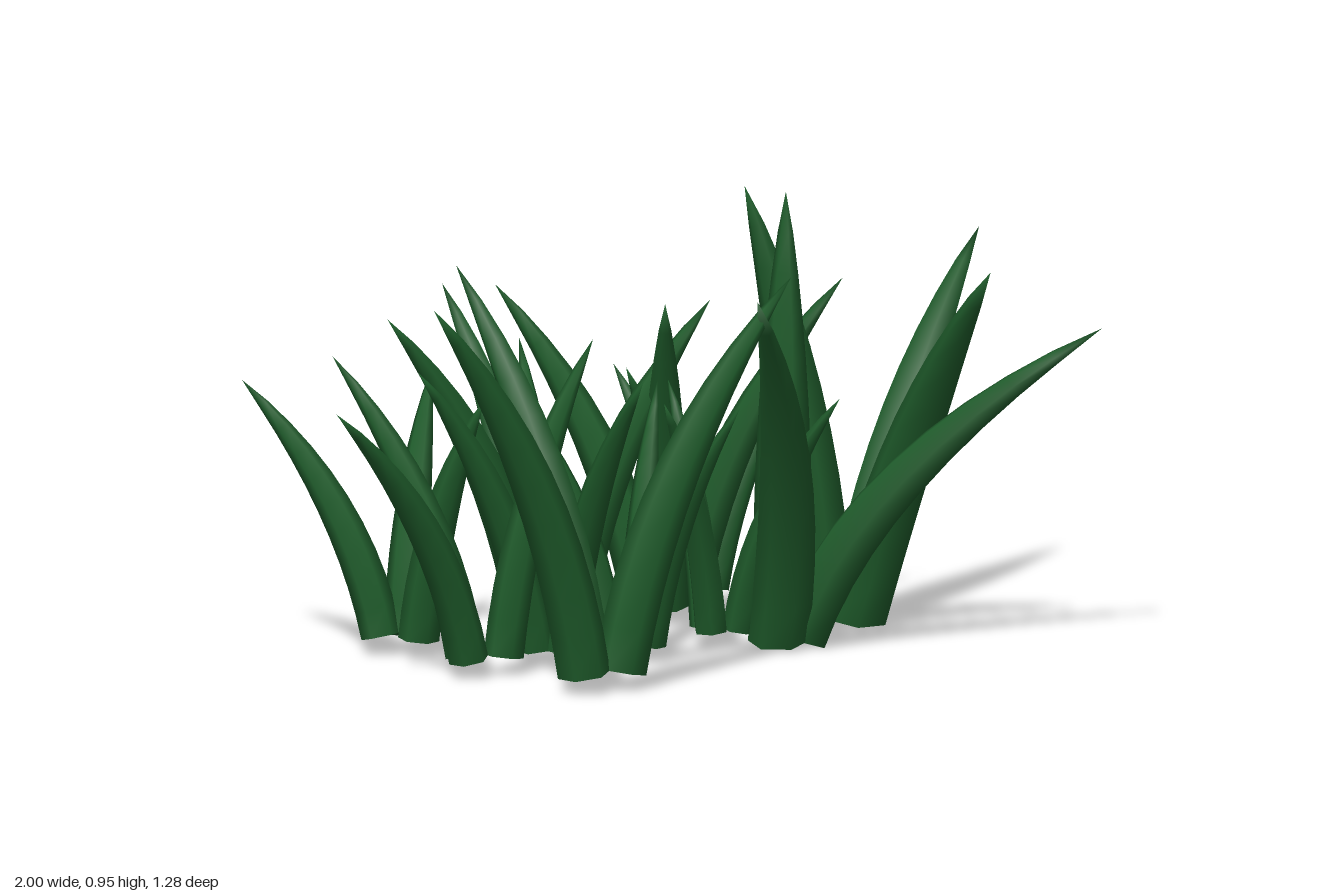
import * as THREE from 'three';

const SIDES = 6, RINGS = 10;

// Half-width factor along a blade, from its cut base to its tip
const taper = t => 1 - 0.96 * Math.pow(t, 2.4);

// Tufts: root x and z, half width w, height h, blade tips as [x, z, own height, sideways bow]
const tufts = [
  { x: -0.52, z: -0.23, w: 0.045, h: 0.57, tips: [[-0.66, -0.58], [-0.24, -0.46], [-0.46, -0.03]] },
  { x: -0.11, z: -0.23, w: 0.052, h: 0.71, tips: [[-0.06, -0.64], [-0.48, -0.32], [0.22, -0.1]] },
  { x: 0.22, z: -0.25, w: 0.052, h: 0.73, tips: [[0.06, -0.61, 0.7], [0.55, -0.06], [0.02, -0.01]] },
  { x: 0.39, z: -0.35, w: 0.037, h: 0.54, tips: [[0.41, -0.64, 0.495], [0.7, -0.34], [0.2, -0.35]] },
  { x: 0.485, z: 0.02, w: 0.07, h: 0.82, tips: [[1, -0.15, 0.785, -0.03], [0.44, 0.55, 0.82, 0.07], [0.28, -0.06, 0.95]] },
  { x: 0.175, z: 0.18, w: 0.064, h: 0.82, tips: [[-0.2, 0.55, 0.82, 0.06], [0.67, 0.64, 0.69, -0.035], [0.25, 0.11, 0.96]] },
  { x: 0.08, z: 0.1, w: 0.037, h: 0.56, tips: [[0.07, -0.06], [-0.16, 0.2], [0.17, 0.38]] },
  { x: -0.2, z: 0.14, w: 0.037, h: 0.57, tips: [[-0.36, -0.04], [-0.01, 0], [-0.12, 0.4]] },
  { x: -0.36, z: 0.08, w: 0.044, h: 0.66, tips: [[-0.22, -0.2], [-0.7, 0.04], [-0.41, 0.43]] },
  { x: -0.57, z: 0.1, w: 0.044, h: 0.66, tips: [[-0.69, -0.25], [-1, 0.13, 0.61], [-0.33, 0.17, 0.71]] },
  { x: -0.52, z: 0.42, w: 0.058, h: 0.86, tips: [[-0.97, 0.41], [-0.52, -0.05], [-0.09, 0.53]] },
];

// Curved, tapering blade with a closed base, fanning out from the root of its tuft
function bladeGeometry({ x, z, w, h }, [tipX, tipZ, tipY = h, bow = 0]) {
  const lean = new THREE.Vector3(tipX - x, 0, tipZ - z).normalize();
  const side = new THREE.Vector3(0, 1, 0).cross(lean);
  // Thick tufts are rooted lower
  const base = new THREE.Vector3(x, w > 0.06 ? 0.03 : 0.05, z).addScaledVector(lean, 0.045);
  const tip = new THREE.Vector3(tipX, tipY, tipZ);
  const bend = base.clone().lerp(tip, 0.2).addScaledVector(side, bow);
  bend.y = THREE.MathUtils.lerp(base.y, tipY, 0.55);
  const curve = new THREE.QuadraticBezierCurve3(base, bend, tip);
  const pos = [], index = [];
  const ring = t => {
    const c = curve.getPoint(t);
    const normal = curve.getTangent(t).cross(side).normalize();
    const r = w * taper(t);
    for (let j = 0; j < SIDES; j++) {
      const a = (j / SIDES) * Math.PI * 2;
      const p = c.clone().addScaledVector(side, r * Math.cos(a)).addScaledVector(normal, 0.95 * r * Math.sin(a));
      pos.push(p.x, p.y, p.z);
    }
  };
  for (let i = 0; i < RINGS; i++) ring(i / RINGS);
  const apex = RINGS * SIDES;
  pos.push(tip.x, tip.y, tip.z);
  for (let i = 0; i < RINGS; i++) {
    for (let j = 0; j < SIDES; j++) {
      const a = i * SIDES + j, b = i * SIDES + (j + 1) % SIDES;
      if (i === RINGS - 1) index.push(a, b, apex);
      else index.push(a, b, b + SIDES, a, b + SIDES, a + SIDES);
    }
  }
  // Base cap on its own vertices keeps the cut edge sharp
  const cap = pos.length / 3;
  ring(0);
  for (let j = 1; j < SIDES - 1; j++) index.push(cap, cap + j + 1, cap + j);
  const geometry = new THREE.BufferGeometry();
  geometry.setAttribute('position', new THREE.Float32BufferAttribute(pos, 3));
  geometry.setIndex(index);
  geometry.computeVertexNormals();
  return geometry;
}

export function createModel() {
  const model = new THREE.Group();
  model.name = 'grassPatch';
  const green = new THREE.MeshStandardMaterial({ color: 0x1e5a2a });
  green.name = 'grassGreen';
  for (const tuft of tufts) {
    const group = new THREE.Group();
    group.name = 'grassTuft';
    for (const tip of tuft.tips) {
      const blade = new THREE.Mesh(bladeGeometry(tuft, tip), green);
      blade.name = 'grassBlade';
      group.add(blade);
    }
    model.add(group);
  }
  return model;
}
